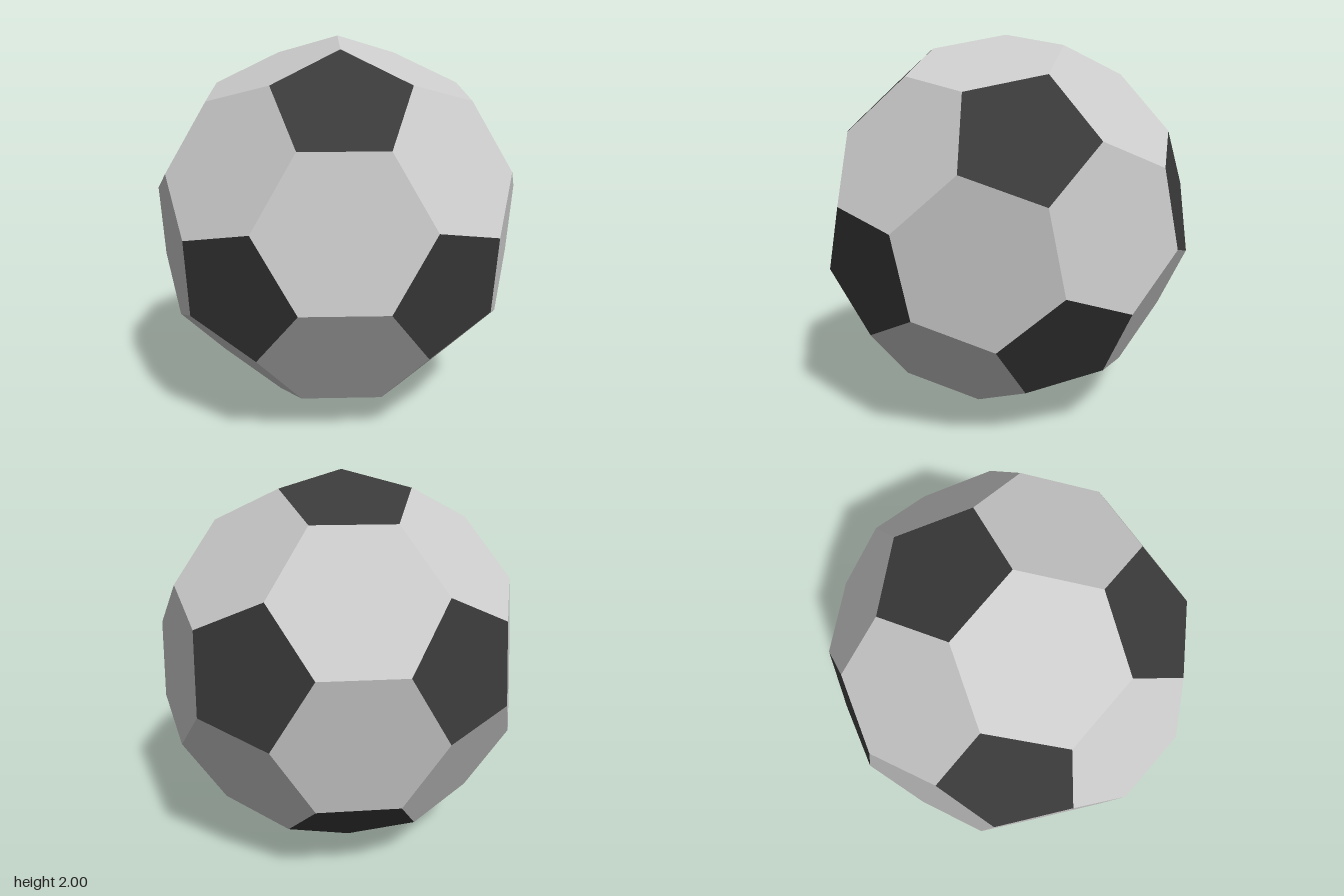
import * as THREE from 'three';
import { mergeGeometries } from 'three/addons/utils/BufferGeometryUtils.js';

// Twelve unit axes of an icosahedron, turned so one corner of the truncated ball points straight up
function icosahedronAxes() {
  const tilt = Math.atan(2 / (2 * Math.sqrt(5) + 1)); // pentagon centre to its corner
  const turn = THREE.MathUtils.degToRad(19);
  const up = new THREE.Vector3(0, 1, 0);
  const a = new THREE.Vector3(
    Math.sin(tilt) * Math.sin(turn), Math.cos(tilt), -Math.sin(tilt) * Math.cos(turn));
  const u = up.clone().addScaledVector(a, -up.dot(a)).normalize();
  const v = a.clone().cross(u);
  const axes = [a];
  for (let k = 0; k < 5; k++) {
    const t = (k * Math.PI * 2) / 5;
    axes.push(a.clone()
      .addScaledVector(u, 2 * Math.cos(t))
      .addScaledVector(v, 2 * Math.sin(t))
      .normalize());
  }
  return [...axes, ...axes.map((p) => p.clone().negate())];
}

// Flat regular polygon facing along normal, with its first point at the given corner
function panel(sides, normal, corner) {
  const centre = normal.clone().multiplyScalar(corner.dot(normal));
  const x = corner.clone().sub(centre);
  const radius = x.length();
  x.normalize();
  const y = normal.clone().cross(x);
  const matrix = new THREE.Matrix4().makeBasis(x, y, normal).setPosition(centre);
  return new THREE.CircleGeometry(radius, sides).applyMatrix4(matrix);
}

export function createModel() {
  const ball = new THREE.Group();
  ball.name = 'ball';

  const axes = icosahedronAxes();
  const adjacent = (p, q) => Math.abs(p.dot(q) - 1 / Math.sqrt(5)) < 0.01;
  // Corner one third of the way along an edge, on the unit sphere
  const cornerOf = (p, q) => p.clone().multiplyScalar(2).add(q).normalize();

  // Dark pentagon on every axis
  const pentagons = axes.map((p) =>
    panel(5, p, cornerOf(p, axes.find((q) => adjacent(p, q)))));

  // Light hexagon between every three neighbouring axes
  const hexagons = [];
  for (let i = 0; i < 12; i++) {
    for (let j = i + 1; j < 12; j++) {
      for (let k = j + 1; k < 12; k++) {
        const [p, q, r] = [axes[i], axes[j], axes[k]];
        if (!adjacent(p, q) || !adjacent(q, r) || !adjacent(p, r)) continue;
        const normal = p.clone().add(q).add(r).normalize();
        hexagons.push(panel(6, normal, cornerOf(p, q)));
      }
    }
  }

  const add = (name, panels, color) => {
    const material = new THREE.MeshStandardMaterial({ color, flatShading: true });
    const mesh = new THREE.Mesh(mergeGeometries(panels), material);
    mesh.name = name;
    mesh.position.y = 1;
    ball.add(mesh);
  };
  add('pentagonPanels', pentagons, 0x3a3a3a);
  add('hexagonPanels', hexagons, 0xcccccc);
  return ball;
}
